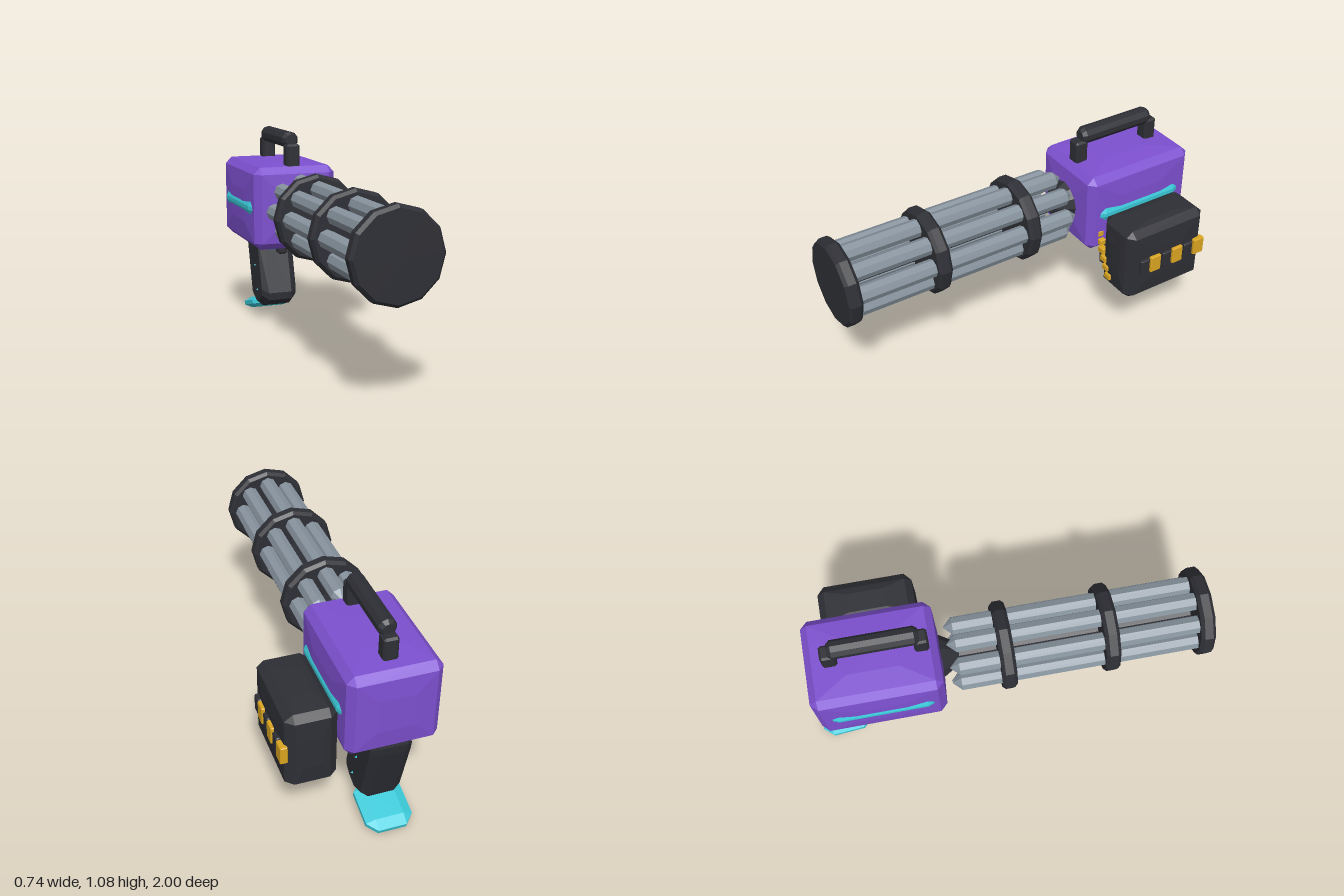
import * as THREE from 'three';
import { ConvexGeometry } from 'three/addons/geometries/ConvexGeometry.js';

const mat = (name, color) => {
  const m = new THREE.MeshStandardMaterial({ color, flatShading: true });
  m.name = name;
  return m;
};

// Box with chamfers c = [cx, cy, cz]; each face swells outward by b
function chamferBox(w, h, d, c, b = 0) {
  const H = [w / 2 - b, h / 2 - b, d / 2 - b];
  const pts = [];
  for (const sx of [-1, 1]) for (const sy of [-1, 1]) for (const sz of [-1, 1]) {
    const s = [sx, sy, sz];
    for (let k = 0; k < 3; k++) {
      const edge = H.map((v, i) => s[i] * (i === k ? v : v - c[i]));
      pts.push(new THREE.Vector3(...edge));
      if (b) {
        const swell = H.map((v, i) => s[i] * (i === k ? v + b : v * 0.4));
        pts.push(new THREE.Vector3(...swell));
      }
    }
  }
  return new ConvexGeometry(pts);
}

export function createModel() {
  const purple = mat('purple', 0x7d50cf);
  const dark = mat('charcoal', 0x2e2f35);
  const teal = mat('teal', 0x3bc9d8);
  const gold = mat('gold', 0xdba520);
  const steel = mat('steel', 0x87939e);

  const model = new THREE.Group();
  const AX = -0.13, AY = 0.69; // barrel axis

  const add = (name, geometry, material, x, y, z, parent = model) => {
    const m = new THREE.Mesh(geometry, material);
    m.name = name;
    m.position.set(x, y, z);
    parent.add(m);
    return m;
  };
  const uniform = (c) => [c, c, c];

  // Housing with a raised stripe on each side
  add('body', chamferBox(0.464, 0.455, 0.645, uniform(0.035), 0.01), purple, AX, 0.69, -0.632);
  for (const s of [-1, 1]) {
    add('sideStripe', chamferBox(0.03, 0.07, 0.49, [0.012, 0.025, 0.03]), teal, AX + s * 0.223, 0.69, -0.625);
  }

  // Rotating barrel cluster
  const cluster = new THREE.Group();
  cluster.name = 'barrelCluster';
  cluster.position.set(AX, AY, 0);
  model.add(cluster);
  const barrelGeo = new THREE.LatheGeometry(
    [[0, -0.28], [0.045, -0.235], [0.045, 0.96], [0, 0.96]].map((p) => new THREE.Vector2(...p)), 8);
  barrelGeo.rotateX(Math.PI / 2);
  for (let i = 0; i < 8; i++) {
    const a = (i * Math.PI) / 4;
    add('barrel', barrelGeo, steel, 0.145 * Math.cos(a), 0.145 * Math.sin(a), 0, cluster);
  }
  const ringGeo = new THREE.LatheGeometry(
    [[0, -0.036], [0.205, -0.036], [0.22, -0.02], [0.22, 0.02], [0.205, 0.036], [0, 0.036]]
      .map((p) => new THREE.Vector2(...p)), 12);
  ringGeo.rotateX(Math.PI / 2);
  for (const z of [0.964, 0.5, -0.005]) add('barrelRing', ringGeo, dark, 0, 0, z, cluster);
  const hubGeo = new THREE.CylinderGeometry(0.055, 0.115, 0.1, 12).rotateX(Math.PI / 2);
  add('hub', hubGeo, dark, 0, 0, -0.275, cluster);
  const shaftGeo = new THREE.CylinderGeometry(0.035, 0.035, 1.2, 8).rotateX(Math.PI / 2);
  add('shaft', shaftGeo, dark, 0, 0, 0.34, cluster);

  // Carry handle
  for (const z of [-0.392, -0.822]) {
    add('handlePost', chamferBox(0.072, 0.13, 0.07, uniform(0.01)), dark, AX, 0.957, z);
  }
  const barGeo = new THREE.LatheGeometry(
    [[0, -0.21], [0.03, -0.21], [0.045, -0.19], [0.045, 0.19], [0.03, 0.21], [0, 0.21]]
      .map((p) => new THREE.Vector2(...p)), 10);
  barGeo.rotateX(Math.PI / 2);
  add('handleBar', barGeo, dark, AX, 1.04, -0.607);

  // Ammunition box with clips on its outer face
  add('ammoBox', chamferBox(0.262, 0.425, 0.49, [0.04, 0.03, 0.035], 0.008), dark, 0.219, 0.494, -0.628);
  for (let i = 0; i < 3; i++) {
    add('clipSpacer', chamferBox(0.03, 0.088, 0.055, uniform(0.006)), dark, 0.35, 0.493, -0.478 - i * 0.138);
    add('clip', chamferBox(0.036, 0.092, 0.064, uniform(0.004)), gold, 0.349, 0.494, -0.542 - i * 0.14);
  }

  // Feed chain down the front of the ammunition box
  for (let i = 0; i < 6; i++) {
    add('feedLink', chamferBox(0.044, 0.034, 0.035, uniform(0.004)), gold,
      0.075 + i * 0.021, 0.575 - i * 0.043, -0.391);
  }

  // Raked grip: side profile as [z, y], narrowed toward both cheeks
  const profile = [[-0.71, 0.5], [-0.955, 0.5], [-0.945, 0.45], [-0.84, 0.105], [-0.74, 0.065],
    [-0.66, 0.09], [-0.612, 0.125], [-0.61, 0.165]];
  const gripPts = [];
  for (const [z, y] of profile) for (const s of [-1, 1]) {
    gripPts.push(new THREE.Vector3(s * 0.065, y, z));
    gripPts.push(new THREE.Vector3(s * 0.1, 0.29 + (y - 0.29) * 0.86, -0.77 + (z + 0.77) * 0.8));
  }
  add('grip', new ConvexGeometry(gripPts), dark, AX, 0, 0);
  for (const s of [-1, 1]) {
    for (const [y, z] of [[0.3, -0.765], [0.165, -0.725]]) {
      const stud = add('gripStud', new THREE.ConeGeometry(0.016, 0.025, 6), teal, AX + s * 0.098, y, z);
      stud.rotation.z = -s * Math.PI / 2;
    }
  }
  const foot = add('gripFoot', chamferBox(0.23, 0.062, 0.272, [0.045, 0.02, 0.05]), teal, AX, 0.058, -0.863);
  foot.rotation.x = -0.27;

  // Trigger and its collar
  add('triggerCollar', chamferBox(0.208, 0.045, 0.12, [0.03, 0.014, 0.03]), teal, AX, 0.434, -0.66);
  add('trigger', chamferBox(0.052, 0.075, 0.05, uniform(0.01)), dark, AX, 0.433, -0.585);

  return model;
}
